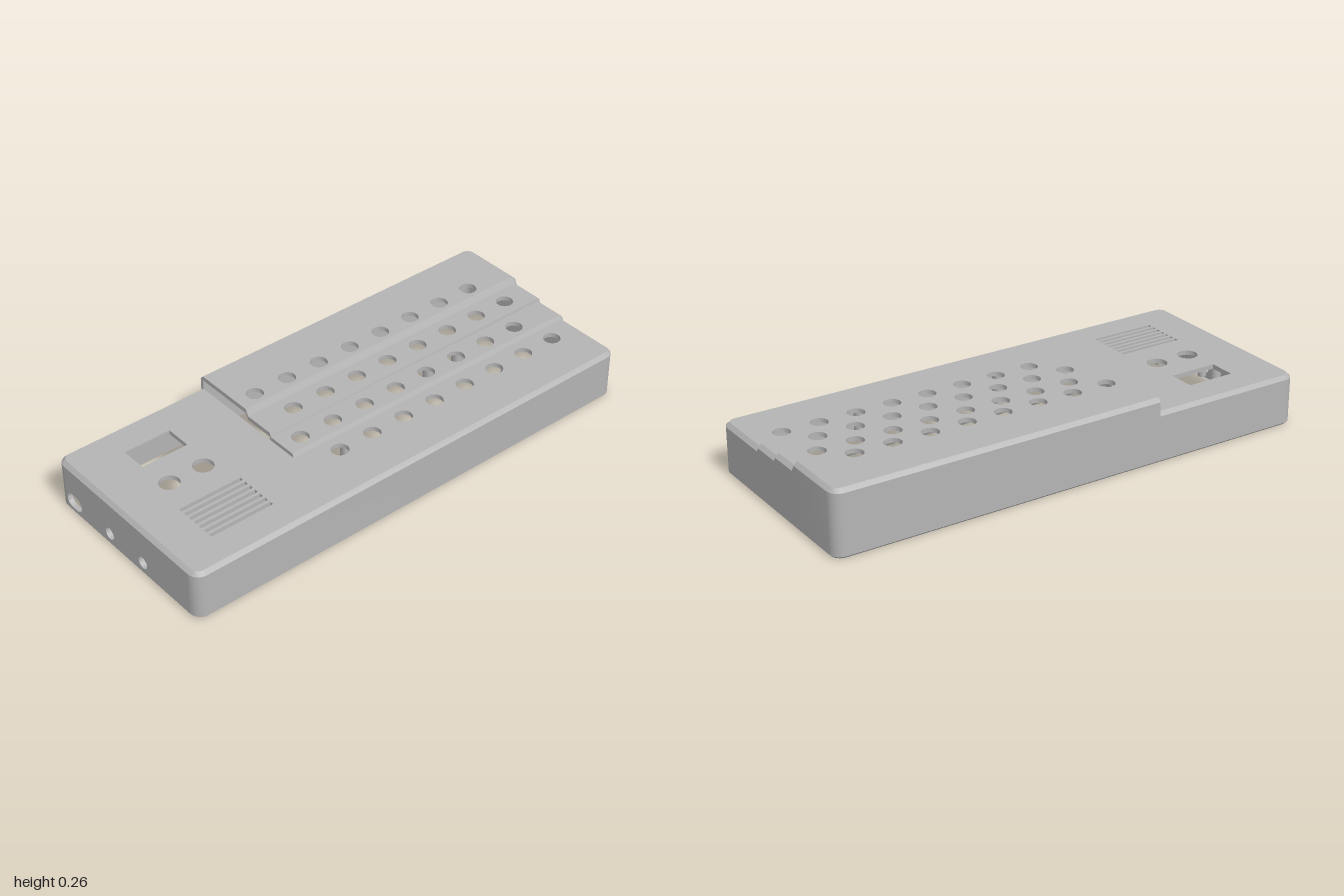
import * as THREE from 'three';
import { toCreasedNormals } from 'three/addons/utils/BufferGeometryUtils.js';

const W = 1, D = 0.416, R = 0.045, CH = 0.015, WALL = 0.02, T = 0.018;
const H = [0.203, 0.219, 0.235, 0.26]; // tier heights, front to back
const STEP_X = -0.355;
const RISERS = [[0.135, 0.126], [0.004, -0.003], [-0.128, -0.142]]; // z at foot and head

const plastic = new THREE.MeshStandardMaterial({ color: 0xb4b4b4, side: THREE.DoubleSide });
plastic.name = 'grey plastic';

export function createModel() {
  const model = new THREE.Group();
  model.name = 'enclosure';
  const add = (name, geo, x = 0, y = 0, z = 0) => {
    const m = new THREE.Mesh(geo, plastic);
    m.name = name;
    m.position.set(x, y, z);
    model.add(m);
    return m;
  };

  // Rim outline: points with outward normal and local height
  const N = 6, loop = [];
  const corner = (sx, sz, start, h) => {
    for (let i = 0; i <= N; i++) {
      const a = start + (i / N) * Math.PI / 2, nx = Math.cos(a), nz = Math.sin(a);
      loop.push({ x: sx * (W - R) + R * nx, z: sz * (D - R) + R * nz, nx, nz, h });
    }
  };
  corner(1, 1, 0, H[0]);
  corner(-1, 1, Math.PI / 2, H[0]);
  corner(-1, -1, Math.PI, H[0]);
  for (const h of [H[0], H[3]]) loop.push({ x: STEP_X, z: -D, nx: 0, nz: -1, h });
  corner(1, -1, Math.PI * 1.5, H[3]);
  for (let i = 2; i >= 0; i--) {
    loop.push({ x: W, z: RISERS[i][1], nx: 1, nz: 0, h: H[i + 1] });
    loop.push({ x: W, z: RISERS[i][0], nx: 1, nz: 0, h: H[i] });
  }

  // Wall section swept round the outline, from the inside top to the outside top
  const rows = [
    (h) => [WALL, h - 0.01], () => [WALL, 0], () => [0.008, 0],
    () => [0, 0.008], (h) => [0, h - CH], (h) => [CH, h],
  ];
  const leftSide = 2 * (N + 1) - 1; // straight run left open for the drilled plate
  const pos = [];
  const at = (i, j) => {
    const p = loop[i % loop.length], [inset, y] = rows[j](p.h);
    return [p.x - p.nx * inset, y, p.z - p.nz * inset];
  };
  for (let i = 0; i < loop.length; i++) {
    for (let j = 0; j < rows.length - 1; j++) {
      if (i === leftSide && (j === 0 || j === 3)) continue;
      const a = at(i, j), b = at(i + 1, j), c = at(i + 1, j + 1), d = at(i, j + 1);
      pos.push(...a, ...d, ...c, ...a, ...c, ...b);
    }
  }
  const wall = new THREE.BufferGeometry();
  wall.setAttribute('position', new THREE.Float32BufferAttribute(pos, 3));
  wall.computeVertexNormals();
  add('outerWall', toCreasedNormals(wall, 0.5));

  const circle = (x, y, r) => new THREE.Path().absarc(x, y, r, 0, Math.PI * 2, true);
  const rect = (x0, x1, y0, y1) => new THREE.Path([[x0, y0], [x0, y1], [x1, y1], [x1, y0]]
    .map((p) => new THREE.Vector2(...p)));
  const extrude = (shape, depth) => toCreasedNormals(
    new THREE.ExtrudeGeometry(shape, { depth, bevelEnabled: false, curveSegments: 12 }), 0.5);

  // Side plate with its connector openings
  const side = new THREE.Shape([[-D + R, 0.008], [D - R, 0.008], [D - R, H[0] - CH], [-D + R, H[0] - CH]]
    .map((p) => new THREE.Vector2(...p)));
  side.holes.push(circle(0.1, 0.052, 0.025), circle(-0.1, 0.052, 0.025));
  const port = new THREE.Path();
  port.absarc(-0.305, 0.052, 0.03, Math.PI / 2, -Math.PI / 2, true);
  port.absarc(-0.335, 0.052, 0.03, -Math.PI / 2, -Math.PI * 1.5, true);
  port.closePath();
  side.holes.push(port);
  add('sidePlate', extrude(side, WALL).rotateY(-Math.PI / 2), -W + WALL);

  // Top plates, drawn with shape y = -z
  const X = W - CH, Z = D - CH, r = R - CH;
  const topPlate = (name, shape, h) => add(name, extrude(shape, T).rotateX(-Math.PI / 2), 0, h - T, 0);
  const buttonHoles = (shape, x0, z) => {
    for (let i = 0; i < 8; i++) shape.holes.push(circle(x0 + i * 0.152, -z, 0.034));
  };

  // Low plate: control area and front row
  const low = new THREE.Shape();
  low.moveTo(STEP_X, Z);
  low.lineTo(-X + r, Z);
  low.absarc(-X + r, Z - r, r, Math.PI / 2, Math.PI, false);
  low.absarc(-X + r, -Z + r, r, Math.PI, Math.PI * 1.5, false);
  low.absarc(X - r, -Z + r, r, Math.PI * 1.5, Math.PI * 2, false);
  low.lineTo(X, -RISERS[0][0]);
  low.lineTo(STEP_X, -RISERS[0][0]);
  low.closePath();
  low.holes.push(rect(-0.797, -0.6, 0.172, 0.28)); // display window
  low.holes.push(circle(-0.775, 0.04, 0.04), circle(-0.627, 0.04, 0.04)); // knobs
  for (let i = 0; i < 7; i++) { // speaker grille
    const z = -0.106 - i * 0.0285;
    low.holes.push(rect(-0.835, -0.568, z - 0.008, z + 0.008));
  }
  buttonHoles(low, -0.197, 0.203);
  topPlate('lowerTopPlate', low, H[0]);

  // Raised tiers and their sloping risers
  const rowX = [-0.197, -0.272, -0.197, -0.272], rowZ = [0.203, 0.07, -0.063, -0.195];
  for (let k = 1; k <= 3; k++) {
    const front = -RISERS[k - 1][1], back = k < 3 ? -RISERS[k][0] : Z;
    const tier = new THREE.Shape();
    tier.moveTo(STEP_X, front);
    tier.lineTo(X, front);
    if (k < 3) tier.lineTo(X, back);
    else tier.absarc(X - r, Z - r, r, 0, Math.PI / 2, false);
    tier.lineTo(STEP_X, back);
    tier.closePath();
    buttonHoles(tier, rowX[k], rowZ[k]);
    topPlate('tierPlate' + k, tier, H[k]);

    const [z0, z1] = RISERS[k - 1];
    const riser = new THREE.Shape([[z0, H[k - 1]], [z1, H[k]], [z1, H[k] - T], [z0, H[k - 1] - T]]
      .map((p) => new THREE.Vector2(...p)));
    add('riser' + k, extrude(riser, X - STEP_X).rotateY(-Math.PI / 2), X);
  }

  // Hollow posts hanging under the top
  const post = (name, x, z, y0, y1, ro) => {
    const ri = ro * 0.5;
    const pts = [[ri, y1], [ri, y0], [ro, y0], [ro, y1]].map((p) => new THREE.Vector2(...p));
    add(name, toCreasedNormals(new THREE.LatheGeometry(pts, 16), 0.6), x, 0, z);
  };
  const under = H[0] - T;
  for (const [x, z] of [[0.915, 0.365], [-0.9, 0.29], [-0.92, -0.04], [-0.36, 0.32], [-0.45, -0.06]])
    post('boardPost', x, z, 0.035, under, 0.022);
  for (const [x, z] of [[0.46, 0.365], [-0.16, 0.365]]) post('lidPost', x, z, 0.004, under, 0.023);
  for (const [x, z, top] of [[-0.05, 0.06, 1], [0.505, -0.1, 2], [0.675, -0.12, 2], [0.665, 0.156, 0]]) {
    post('buttonBoardPost', x, z, 0.09, H[top] - T, 0.013);
    post('buttonBoardPostFoot', x, z, 0.006, 0.09, 0.022);
  }
  for (const [x, z] of [[-0.7, 0.04], [-0.69, 0.335], [-0.585, -0.145], [-0.765, -0.145]])
    post('stub', x, z, 0.155, under, 0.016);

  return model;
}
